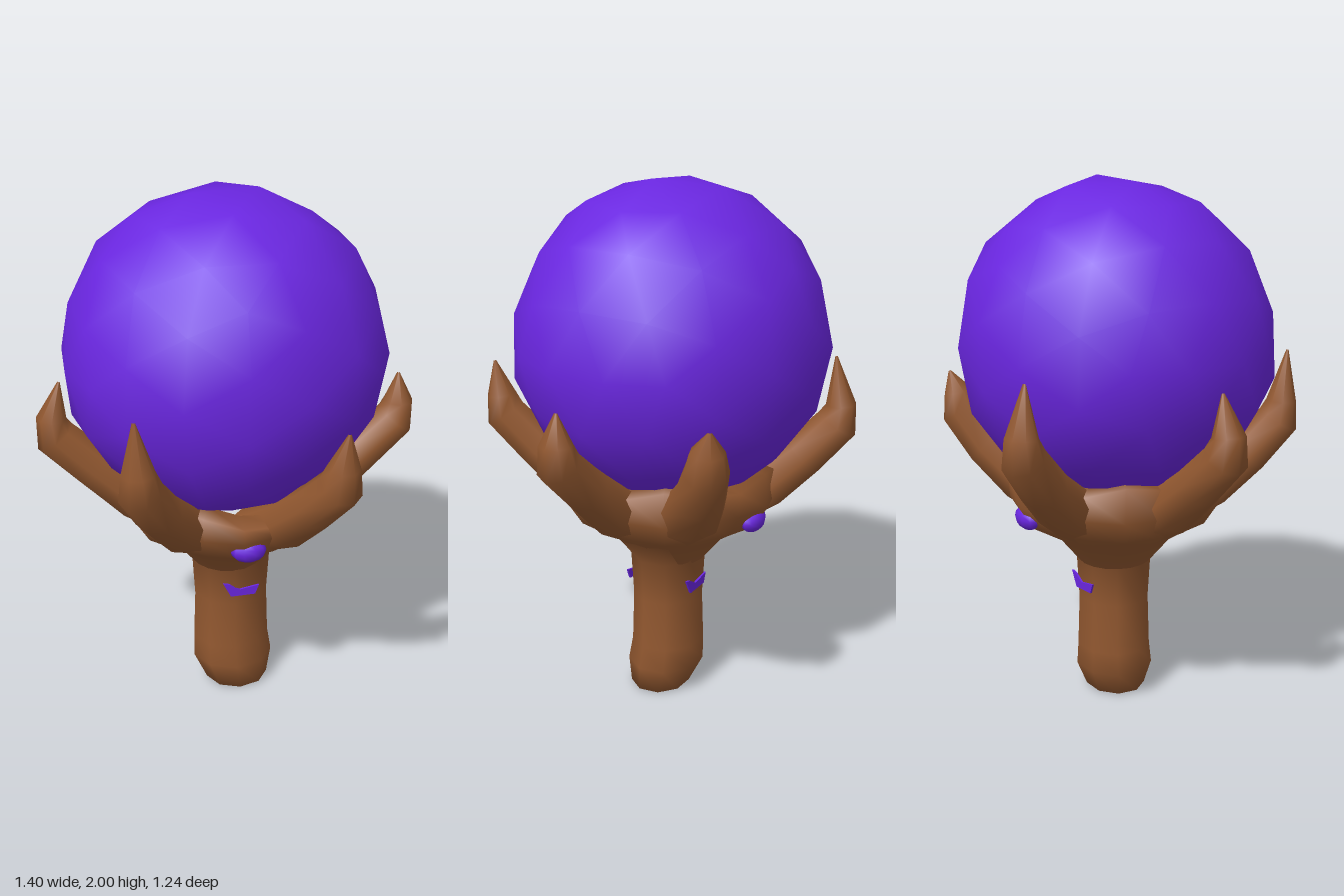
import * as THREE from 'three';
import { mergeVertices } from 'three/addons/utils/BufferGeometryUtils.js';

const wood = new THREE.MeshStandardMaterial({ color: 0x925830 });
wood.name = 'brown wood';
const purple = new THREE.MeshStandardMaterial({ color: 0x6a26e0 });
purple.name = 'purple orb';

function add(group, name, geometry, material) {
  const mesh = new THREE.Mesh(geometry, material);
  mesh.name = name;
  group.add(mesh);
  return mesh;
}

// Rebuild smooth normals after moving vertices, without a seam.
function reshape(geometry, rule) {
  geometry.deleteAttribute('uv');
  geometry.deleteAttribute('normal');
  const g = mergeVertices(geometry, 1e-4);
  const p = g.attributes.position, v = new THREE.Vector3();
  for (let i = 0; i < p.count; i++) {
    v.fromBufferAttribute(p, i);
    rule(v);
    p.setXYZ(i, v.x, v.y, v.z);
  }
  g.computeVertexNormals();
  return g;
}

function lathe(profile, sides) {
  return new THREE.LatheGeometry(profile.map(([r, y]) => new THREE.Vector2(r, y)), sides);
}

// Hooked branch lofted along a path of [radius, height, half thickness, half width].
function clawGeometry(rings, sides = 8) {
  const pos = [], index = [];
  rings.forEach(([r, y, h, w], i) => {
    const a = rings[Math.max(i - 1, 0)], b = rings[Math.min(i + 1, rings.length - 1)];
    const len = Math.hypot(b[0] - a[0], b[1] - a[1]);
    const tx = (b[0] - a[0]) / len, ty = (b[1] - a[1]) / len;
    for (let j = 0; j < sides; j++) {
      const t = (j / sides) * Math.PI * 2;
      const c = Math.cos(t) * h, s = Math.sin(t) * w;
      pos.push(r + ty * c, y - tx * c, s);
      if (i === rings.length - 1) continue;
      const k = (j + 1) % sides, o = i * sides;
      index.push(o + j, o + sides + j, o + k, o + k, o + sides + j, o + sides + k);
    }
  });
  const g = new THREE.BufferGeometry();
  g.setAttribute('position', new THREE.Float32BufferAttribute(pos, 3));
  g.setIndex(index);
  g.computeVertexNormals();
  return g;
}

export function createModel() {
  const group = new THREE.Group();

  // Faceted-outline orb, slightly uneven
  const orb = reshape(new THREE.IcosahedronGeometry(0.595, 2), (v) => {
    v.multiplyScalar(1 + 0.014 * Math.sin(v.x * 17 + v.y * 11 + v.z * 23));
    v.z *= 0.975;
  });
  orb.computeBoundingBox();
  orb.translate(-0.01, 2 - orb.boundingBox.max.y, 0);
  add(group, 'orb', orb, purple);

  // Trunk with a swollen foot, leaning slightly at the bottom
  const trunk = reshape(lathe([[0, 0], [0.125, 0.004], [0.16, 0.11], [0.152, 0.2],
    [0.145, 0.4], [0.155, 0.57], [0.24, 0.68]], 9), (v) => {
    const foot = Math.max(0, 1 - v.y / 0.15);
    v.x = v.x + 0.012 + foot * 0.022;
    v.z = v.z * 0.91 + foot * 0.025;
  });
  add(group, 'trunk', trunk, wood);

  // Cup of fused branches, its rim notched at the front
  const cup = reshape(lathe([[0.14, 0.56], [0.23, 0.67], [0.355, 0.75], [0.41, 0.84],
    [0.41, 0.95], [0.34, 0.965], [0.25, 0.85]], 18), (v) => {
    const angle = Math.atan2(v.x, v.z);
    if (v.y > 0.84) v.y += 0.02 * Math.sin(angle * 6 + 1);
    if (v.y > 0.9 && Math.abs(angle - 0.15) < 0.4) v.y -= 0.07;
    if (v.y > 0.7 && v.y < 0.9) v.multiply(new THREE.Vector3(1 + 0.03 * Math.cos(angle * 6), 1, 1 + 0.03 * Math.cos(angle * 6)));
  });
  add(group, 'cup', cup, wood);

  // Six claws: direction x, z, reach of the elbow, tip radius, tip height
  const claws = [
    [1, 0.05, 0.635, 0.64, 1.3],
    [-1, 0.01, 0.635, 0.61, 1.33],
    [0.32, 0.58, 0.625, 0.655, 1.32],
    [-0.39, 0.52, 0.61, 0.635, 1.38],
    [-0.28, -0.58, 0.62, 0.605, 1.37],
    [0.45, -0.44, 0.6, 0.64, 1.27],
  ];
  claws.forEach(([x, z, elbow, tipR, tipY], i) => {
    const geometry = clawGeometry([
      [0.16, 0.74, 0.09, 0.13], [0.36, 0.865, 0.1, 0.12], [0.5, 0.985, 0.085, 0.095],
      [elbow, 1.115, 0.08, 0.08], [elbow + 0.01, 1.19, 0.055, 0.062], [tipR, tipY, 0.004, 0.006],
    ]);
    add(group, 'claw' + (i + 1), geometry, wood).rotation.y = Math.atan2(-z, x);
  });

  // Purple glow through the cup and thin marks on the trunk, front and back
  for (const side of [1, -1]) {
    const knot = add(group, 'cupKnot', new THREE.SphereGeometry(1, 10, 8), purple);
    knot.scale.set(0.065, 0.045, 0.04);
    knot.position.set(0.02, 0.79, side * 0.375);

    const mark = new THREE.Shape([[-0.065, 0.035], [-0.035, -0.025], [0.06, -0.02],
      [0.075, 0.02], [0, 0.005], [-0.04, 0.03]].map(([x, y]) => new THREE.Vector2(x, y)));
    const plate = add(group, 'trunkMark',
      new THREE.ExtrudeGeometry(mark, { depth: 0.008, bevelEnabled: false }), purple);
    plate.position.set(0.03, 0.465, side * 0.128);
    if (side < 0) plate.rotation.y = Math.PI;
  }
  return group;
}
